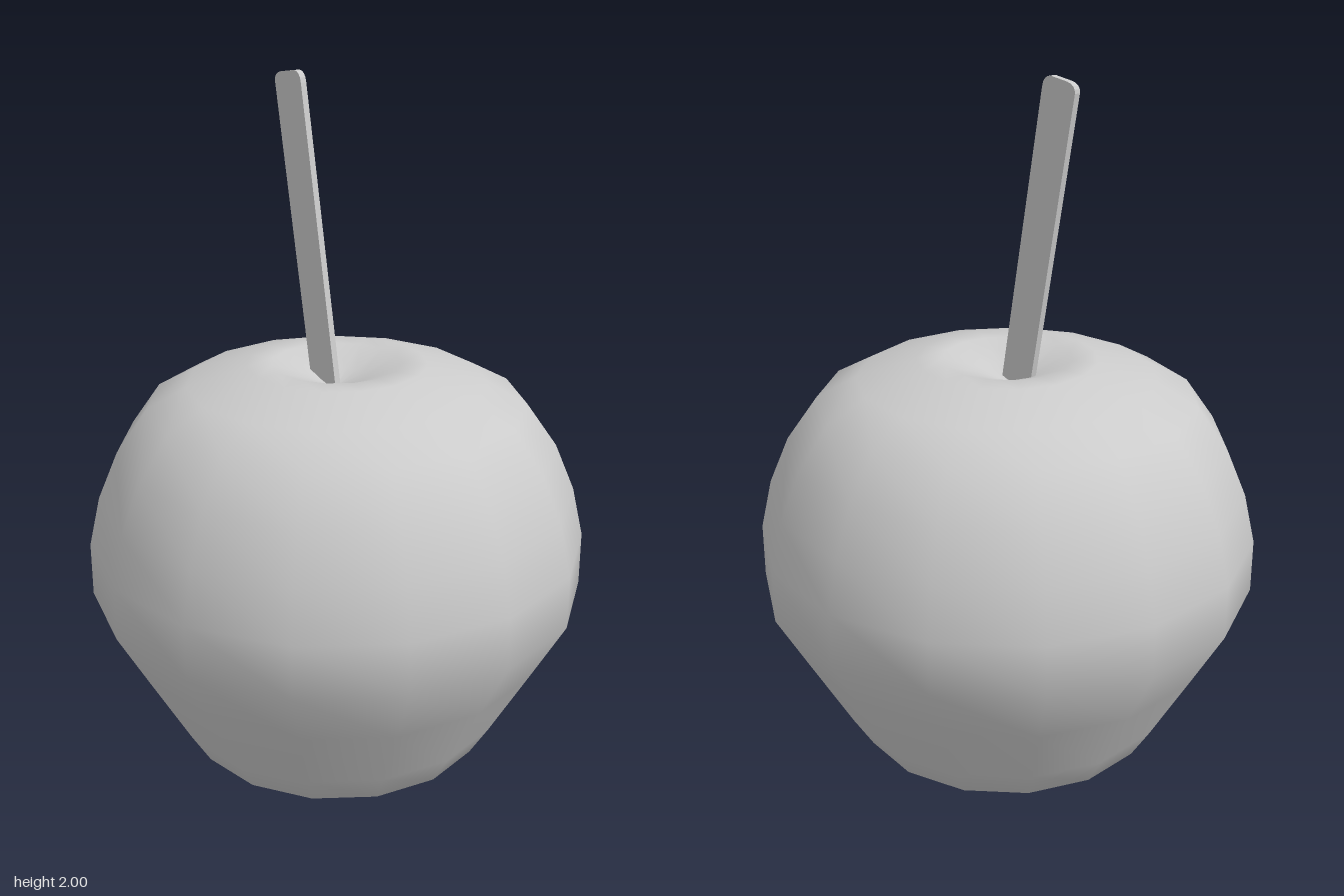
import * as THREE from 'three';

export function createModel() {
  const model = new THREE.Group();
  const grey = new THREE.MeshStandardMaterial({ color: 0xcccccc, side: THREE.DoubleSide });

  // Fruit body: smooth 15-sided lathe, bottom to top, ending in a shallow dimple
  const profile = [
    [0, 0], [0.2, 0.01], [0.355, 0.06], [0.43, 0.11], [0.485, 0.2], [0.6, 0.405],
    [0.697, 0.58], [0.697, 0.73], [0.665, 0.87], [0.61, 1.0], [0.525, 1.12],
    [0.415, 1.18], [0.25, 1.23], [0.18, 1.23], [0.08, 1.19], [0, 1.16],
  ].map(([r, y]) => new THREE.Vector2(r, y));
  const body = new THREE.Mesh(new THREE.LatheGeometry(profile, 15, Math.PI / 2), grey);
  body.name = 'fruitBody';
  body.position.x = -0.008;
  model.add(body);

  // Stick: thin leaning slat with a rounded upper end
  const outline = new THREE.Shape();
  outline.moveTo(-0.088, 1.16);
  outline.lineTo(0.02, 1.16);
  outline.lineTo(-0.125, 1.97);
  outline.quadraticCurveTo(-0.13, 2.0, -0.155, 2.0);
  outline.lineTo(-0.21, 1.992);
  outline.quadraticCurveTo(-0.24, 1.987, -0.238, 1.965);
  outline.closePath();
  const stick = new THREE.Mesh(
    new THREE.ExtrudeGeometry(outline, { depth: 0.018, bevelEnabled: false, curveSegments: 4 }), grey);
  stick.name = 'stick';
  stick.position.z = 0.007;
  model.add(stick);

  return model;
}
